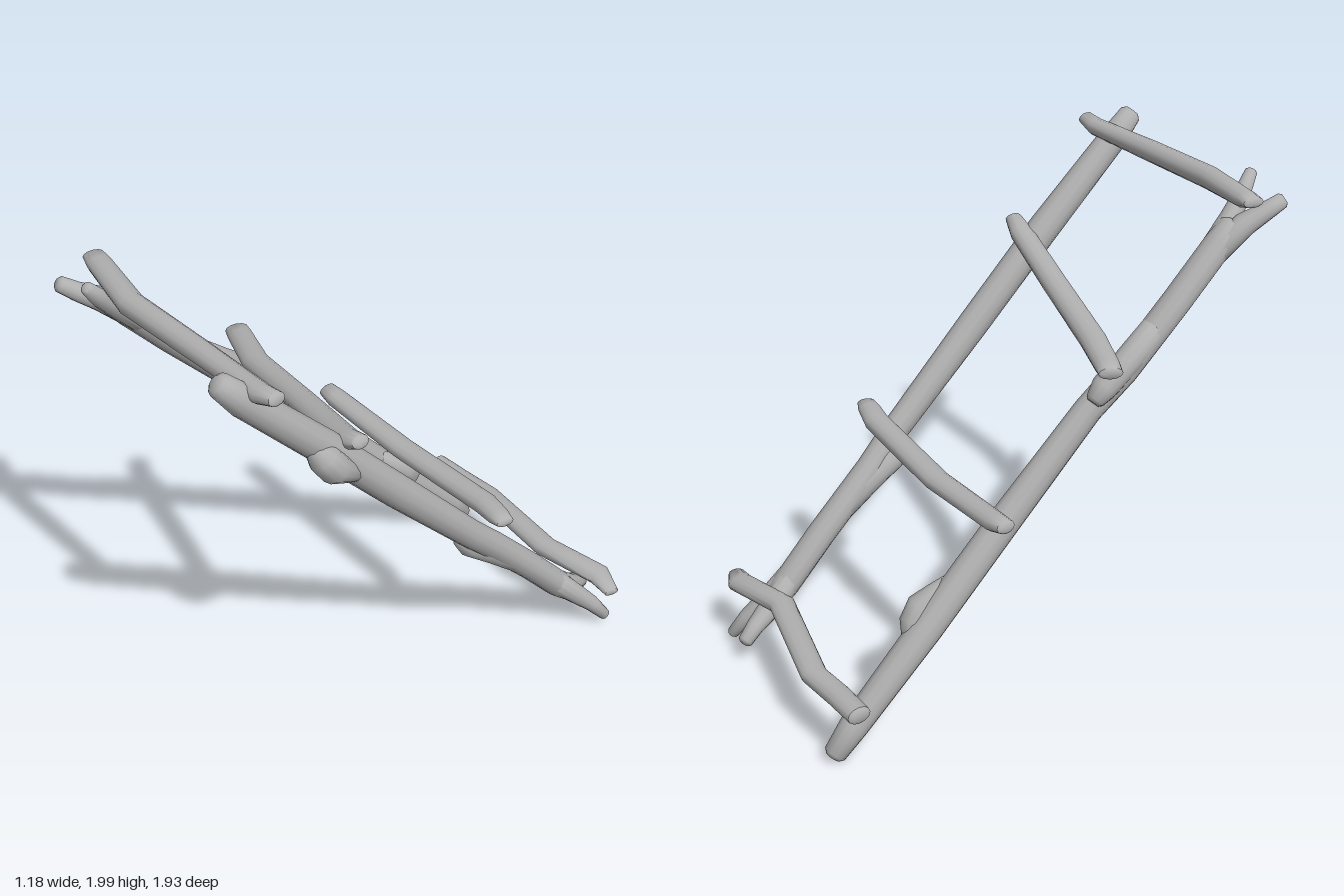
import * as THREE from 'three';
import { toCreasedNormals } from 'three/addons/utils/BufferGeometryUtils.js';

const SIDES = 12;

// Tapered limb: stations are [x, y, z, radiusA, radiusB]; ref is the axis radiusB lies along
function limbGeometry(stations, ref, tip = 0.35) {
  const c = stations.map(s => new THREE.Vector3(s[0], s[1], s[2]));
  const rings = stations.map((s, i) => {
    const t = c[Math.min(i + 1, c.length - 1)].clone().sub(c[Math.max(i - 1, 0)]).normalize();
    return { p: c[i], t, ra: s[3], rb: s[4] ?? s[3] };
  });
  // Worn ends: a smaller ring pushed slightly past each end
  const worn = (r, dir) => ({
    p: r.p.clone().addScaledVector(r.t, dir * tip * r.ra), t: r.t, ra: r.ra * 0.65, rb: r.rb * 0.65,
  });
  rings.unshift(worn(rings[0], -1));
  rings.push(worn(rings[rings.length - 1], 1));

  const pos = [], idx = [];
  for (const r of rings) {
    const a = new THREE.Vector3().crossVectors(r.t, ref).normalize();
    const b = new THREE.Vector3().crossVectors(r.t, a);
    for (let j = 0; j < SIDES; j++) {
      const w = (j / SIDES) * Math.PI * 2;
      const v = r.p.clone().addScaledVector(a, Math.cos(w) * r.ra).addScaledVector(b, Math.sin(w) * r.rb);
      pos.push(v.x, v.y, v.z);
    }
  }
  const last = rings.length - 1, start = rings.length * SIDES;
  pos.push(...rings[0].p.toArray(), ...rings[last].p.toArray());
  for (let j = 0; j < SIDES; j++) {
    const k = (j + 1) % SIDES;
    for (let i = 0; i < last; i++) {
      const p = i * SIDES, q = p + SIDES;
      idx.push(p + j, p + k, q + k, p + j, q + k, q + j);
    }
    idx.push(start, k, j, start + 1, last * SIDES + j, last * SIDES + k);
  }
  const geo = new THREE.BufferGeometry();
  geo.setAttribute('position', new THREE.Float32BufferAttribute(pos, 3));
  geo.setIndex(idx);
  return toCreasedNormals(geo, 0.9);
}

export function createModel() {
  const wood = new THREE.MeshStandardMaterial({ color: 0xb0b0b0 });
  wood.name = 'weatheredGrey';
  const X = new THREE.Vector3(1, 0, 0), Z = new THREE.Vector3(0, 0, 1);
  const model = new THREE.Group();
  model.name = 'branchLadder';

  const add = (parent, name, stations, ref, tip) => {
    const m = new THREE.Mesh(limbGeometry(stations, ref, tip), wood);
    m.name = name;
    parent.add(m);
  };

  // Leaning pole: trunk, forked end, side knob and broken stub
  function pole(name) {
    const g = new THREE.Group();
    g.name = name;
    add(g, 'trunk', [
      [-0.432, 0.035, -0.91, 0.045, 0.044],
      [-0.428, 0.13, -0.825, 0.058, 0.055],
      [-0.418, 0.45, -0.51, 0.064, 0.064],
      [-0.412, 0.8, -0.18, 0.064, 0.06],
      [-0.41, 1.18, 0.185, 0.057, 0.052],
      [-0.432, 1.32, 0.325, 0.057, 0.057],
      [-0.433, 1.55, 0.55, 0.056, 0.06],
      [-0.435, 1.74, 0.725, 0.056, 0.06],
      [-0.432, 1.8, 0.785, 0.045, 0.058],
    ], X);
    add(g, 'shortProng', [
      [-0.44, 1.7, 0.69, 0.05], [-0.465, 1.81, 0.815, 0.046],
      [-0.49, 1.855, 0.89, 0.036], [-0.513, 1.895, 0.945, 0.03],
    ], X);
    add(g, 'longProng', [
      [-0.425, 1.7, 0.69, 0.05], [-0.395, 1.81, 0.8, 0.042],
      [-0.365, 1.88, 0.87, 0.034], [-0.338, 1.955, 0.93, 0.024],
    ], X);
    add(g, 'knob', [
      [-0.405, 0.4, -0.575, 0.03], [-0.378, 0.46, -0.54, 0.058],
      [-0.366, 0.515, -0.5, 0.06], [-0.378, 0.56, -0.445, 0.045], [-0.4, 0.63, -0.36, 0.025],
    ], X);
    add(g, 'brokenStub', [
      [-0.456, 1.24, 0.185, 0.036, 0.038], [-0.452, 1.28, 0.225, 0.052, 0.052],
      [-0.442, 1.36, 0.335, 0.055, 0.054], [-0.434, 1.46, 0.45, 0.05, 0.054],
    ], X);
    model.add(g);
    return g;
  }
  pole('rightPole');
  // The left pole is the same branch turned end for end
  const left = pole('leftPole');
  left.position.set(0.872, 1.99, 0);
  left.rotation.set(Math.PI, 0, 0.022);

  // Crooked rungs resting on the upper side of the poles
  const rungs = [
    [[-0.55, 0.265, -0.86, 0.035, 0.047], [-0.4, 0.262, -0.87, 0.036, 0.05], [-0.23, 0.258, -0.89, 0.033, 0.052],
      [0.22, 0.295, -0.817, 0.035, 0.053], [0.48, 0.277, -0.885, 0.03, 0.055], [0.58, 0.262, -0.862, 0.018, 0.032]],
    [[-0.585, 0.9, -0.268, 0.026, 0.038], [-0.52, 0.888, -0.272, 0.034, 0.047], [-0.1, 0.864, -0.288, 0.034, 0.053],
      [0.4, 0.892, -0.29, 0.036, 0.052], [0.5, 0.9, -0.272, 0.03, 0.046], [0.55, 0.907, -0.262, 0.018, 0.036]],
    [[-0.555, 1.39, 0.185, 0.024, 0.046], [-0.5, 1.393, 0.205, 0.032, 0.05], [-0.3, 1.402, 0.272, 0.038, 0.054],
      [0.1, 1.475, 0.345, 0.038, 0.052], [0.45, 1.54, 0.413, 0.036, 0.05], [0.535, 1.58, 0.42, 0.026, 0.034]],
    [[-0.56, 1.932, 0.775, 0.02, 0.04], [-0.5, 1.925, 0.785, 0.032, 0.047], [-0.22, 1.912, 0.83, 0.042, 0.05],
      [0.15, 1.914, 0.81, 0.041, 0.046], [0.5, 1.913, 0.79, 0.034, 0.042], [0.575, 1.932, 0.785, 0.024, 0.034]],
  ];
  rungs.forEach((r, i) => add(model, 'rung' + (i + 1), r, Z, 0.25));

  return model;
}
